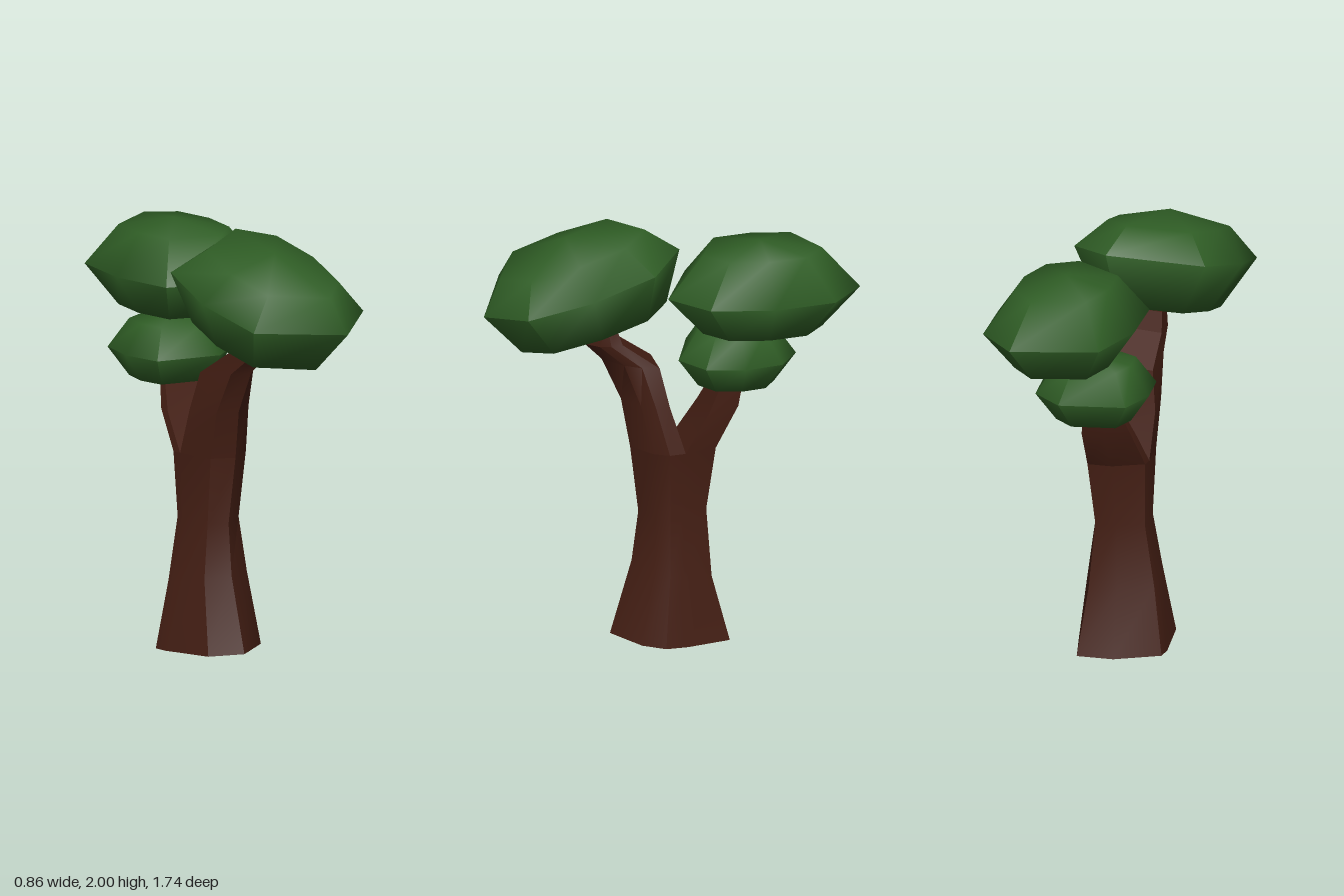
import * as THREE from 'three';
import { toCreasedNormals } from 'three/addons/utils/BufferGeometryUtils.js';

// Skin equal-length rings of points from bottom to top, closed at both end points.
function loft(rings, bottom, top, crease) {
  const n = rings[0].length;
  const points = [...rings.flat(), bottom, top];
  const low = points.length - 2, high = points.length - 1;
  const last = (rings.length - 1) * n;
  const index = [];
  for (let i = 0; i < n; i++) {
    const j = (i + 1) % n;
    for (let r = 0; r < last; r += n) {
      index.push(r + i, r + j, r + n + j, r + i, r + n + j, r + n + i);
    }
    index.push(low, j, i, high, last + i, last + j);
  }
  const geometry = new THREE.BufferGeometry().setFromPoints(points);
  geometry.setIndex(index);
  return toCreasedNormals(geometry, crease);
}

const centroid = (ring) =>
  ring.reduce((sum, p) => sum.add(p), new THREE.Vector3()).divideScalar(ring.length);

// Woody limb: each row is [front z, front y, back z, back y, min x, max x].
function limb(section, rows) {
  const rings = rows.map(([zf, yf, zb, yb, x0, x1]) =>
    section.map(([u, v]) => {
      const t = (v + 1) / 2;
      return new THREE.Vector3(
        THREE.MathUtils.lerp(x0, x1, (u + 1) / 2),
        THREE.MathUtils.lerp(yb, yf, t),
        THREE.MathUtils.lerp(zb, zf, t)
      );
    }));
  return loft(rings, centroid(rings[0]), centroid(rings[rings.length - 1]), 0.6);
}

// Leaf clump: eight-sided equator with smaller rings and domed caps above and below.
const OUTLINE = [[0.26, 1], [0.85, 0.65], [1, 0], [0.85, -0.65],
  [0.26, -1], [-0.85, -0.65], [-1, 0], [-0.85, 0.65]];

function clump(halfX, halfZ, rimX, rimZ, [bottom, lowRim, highRim, top]) {
  const ring = (y, sx, sz) =>
    OUTLINE.map(([x, z]) => new THREE.Vector3(x * sx, y, z * sz));
  return loft([
    ring(lowRim, rimX * halfX, rimZ * halfZ),
    ring(0, halfX, halfZ),
    ring(highRim, rimX * halfX, rimZ * halfZ),
  ], new THREE.Vector3(0, bottom, 0), new THREE.Vector3(0, top, 0), 1.4);
}

export function createModel() {
  const tree = new THREE.Group();
  tree.name = 'tree';
  const bark = new THREE.MeshStandardMaterial({ color: 0x451f14 });
  const leaves = new THREE.MeshStandardMaterial({ color: 0x2f5d25 });

  const add = (name, geometry, material) => {
    const mesh = new THREE.Mesh(geometry, material);
    mesh.name = name;
    tree.add(mesh);
    return mesh;
  };

  // Flared trunk
  const trunkSection = [[-0.74, 0.7], [-0.09, 1], [0.74, 0.58], [1, 0.2], [0.92, -0.2],
    [0.57, -1], [-0.17, -0.9], [-1, -0.45], [-1, -0.2]];
  add('trunk', limb(trunkSection, [
    [0.25, 0.02, -0.28, 0.0, -0.26, 0.2],
    [0.15, 0.37, -0.2, 0.31, -0.21, 0.155],
    [0.12, 0.61, -0.18, 0.63, -0.16, 0.11],
    [0.16, 0.93, -0.22, 0.93, -0.17, 0.14],
  ]), bark);

  // The fork: each branch carries on its half of the trunk's top ring
  const frontSection = [[-0.74, 0.5], [-0.09, 1], [0.74, 0.3], [1, -0.33], [0.92, -1], [-1, -1]];
  add('frontBranch', limb(frontSection, [
    [0.16, 0.93, -0.068, 0.93, -0.17, 0.14],
    [0.2, 1.16, 0.0, 1.15, -0.17, 0.11],
    [0.29, 1.36, 0.04, 1.33, -0.14, 0.07],
    [0.37, 1.44, 0.21, 1.45, -0.11, 0.05],
    [0.36, 1.56, 0.24, 1.54, -0.1, 0.04],
  ]), bark);
  const backSection = [[-1, 1], [0.92, 1], [0.57, -1], [-0.17, -0.75], [-1, 0.375]];
  add('backBranch', limb(backSection, [
    [-0.068, 0.93, -0.22, 0.93, -0.17, 0.14],
    [-0.18, 1.1, -0.33, 1.12, -0.15, 0.11],
    [-0.25, 1.24, -0.36, 1.26, -0.11, 0.08],
  ]), bark);

  // Leaf clumps
  const front = add('frontFoliage',
    clump(0.385, 0.477, 0.64, 0.74, [-0.26, -0.24, 0.135, 0.2]), leaves);
  front.position.set(-0.045, 1.77, 0.405);
  front.rotation.x = 0.28;
  add('backFoliage', clump(0.34, 0.45, 0.62, 0.62, [-0.23, -0.19, 0.19, 0.23]), leaves)
    .position.set(0.09, 1.705, -0.425);
  add('lowerFoliage', clump(0.265, 0.275, 0.66, 0.65, [-0.16, -0.135, 0.135, 0.16]), leaves)
    .position.set(-0.015, 1.36, -0.325);

  return tree;
}
